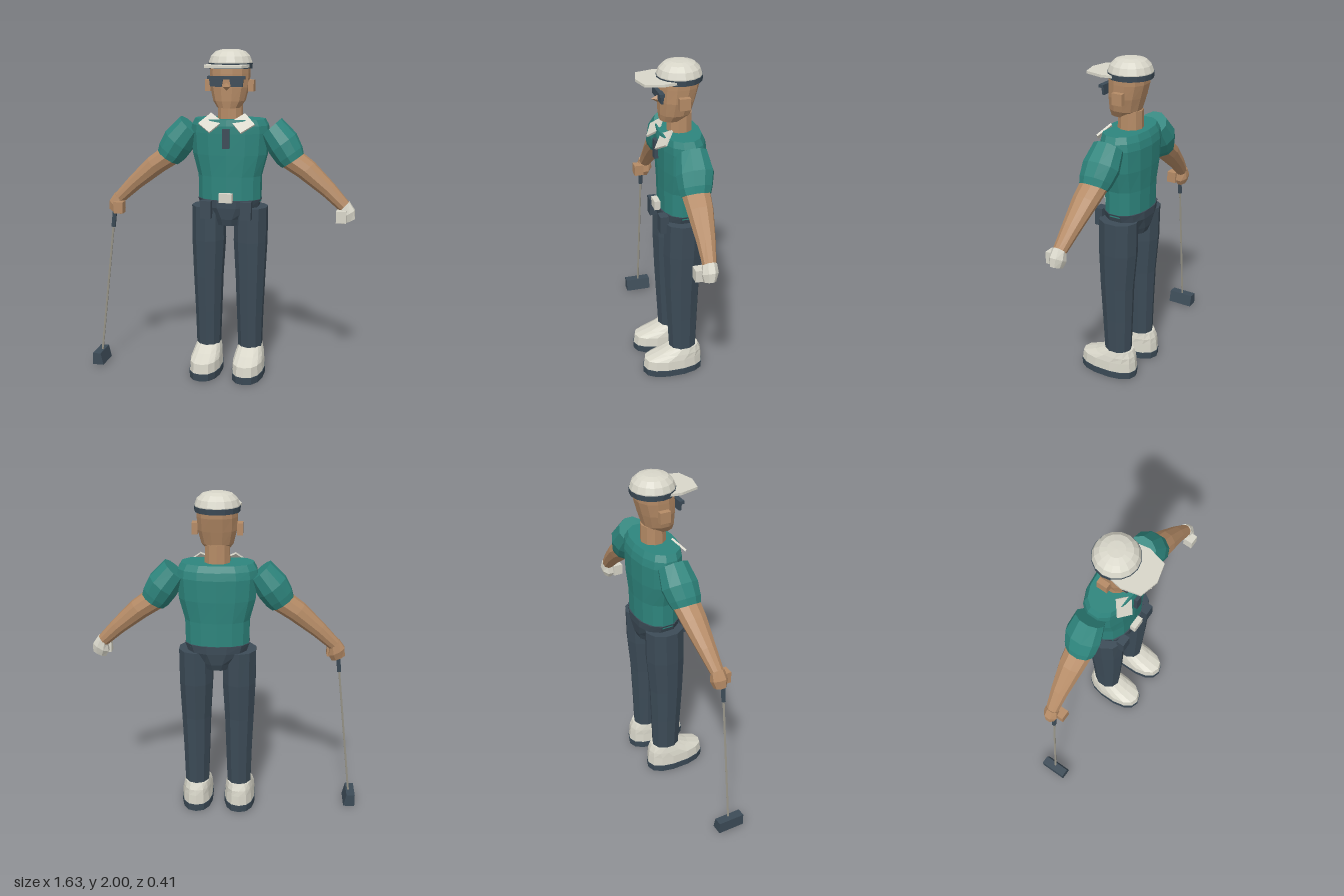
import * as THREE from 'three';

const mat = (name, color) => {
  const m = new THREE.MeshStandardMaterial({ color, flatShading: true });
  m.name = name;
  return m;
};

// Loft through upward rings: [x, y, z, rx, rz, tilt]; s mirrors across x; pow < 1 makes rings boxier
function loft(rings, sides = 10, s = 1, pow = 1) {
  const pos = [], idx = [];
  const sp = v => Math.sign(v) * Math.abs(v) ** pow;
  rings.forEach(([x, y, z, rx, rz, tilt = 0]) => {
    for (let j = 0; j < sides; j++) {
      const t = (j + 0.5) / sides * Math.PI * 2, u = sp(Math.cos(t)) * rx;
      pos.push(s * x + u * Math.cos(tilt), y + s * u * Math.sin(tilt), z + sp(Math.sin(t)) * rz);
    }
  });
  const n = rings.length;
  for (let i = 0; i < n - 1; i++) for (let j = 0; j < sides; j++) {
    const a = i * sides + j, b = i * sides + (j + 1) % sides;
    idx.push(a, a + sides, b, b, a + sides, b + sides);
  }
  // end caps
  for (let j = 1; j < sides - 1; j++) {
    const e = (n - 1) * sides;
    idx.push(0, j, j + 1, e, e + j + 1, e + j);
  }
  const g = new THREE.BufferGeometry();
  g.setAttribute('position', new THREE.Float32BufferAttribute(pos, 3));
  g.setIndex(idx);
  const flat = g.toNonIndexed();
  flat.computeVertexNormals();
  return flat;
}

export function createModel() {
  const model = new THREE.Group();
  model.name = 'golfer';
  const body = new THREE.Group();
  body.name = 'body';
  body.position.x = 0.045;
  model.add(body);

  const teal = mat('teal shirt', 0x2e857d), dark = mat('dark slate', 0x3c4b57),
    skin = mat('skin', 0xb58b66), cream = mat('cream', 0xd8d6c9), steel = mat('club steel', 0x99968a);

  const add = (name, geo, m, parent = body) => {
    const mesh = new THREE.Mesh(geo, m);
    mesh.name = name;
    parent.add(mesh);
    return mesh;
  };
  const box = (name, m, w, h, d, x, y, z) => {
    const b = add(name, new THREE.BoxGeometry(w, h, d), m);
    b.position.set(x, y, z);
    return b;
  };

  // Torso and hips
  add('shirt', loft([
    [0, 1.09, -0.065, 0.192, 0.125], [0, 1.25, -0.065, 0.195, 0.128], [0, 1.38, -0.067, 0.23, 0.135],
    [0, 1.51, -0.067, 0.24, 0.138], [0, 1.555, -0.063, 0.235, 0.133], [0, 1.592, -0.058, 0.215, 0.12],
  ], 14, 1, 0.9), teal);
  add('hips', loft([
    [0, 0.95, -0.062, 0.085, 0.105], [0, 0.99, -0.064, 0.1, 0.12],
    [0, 1.06, -0.065, 0.18, 0.13], [0, 1.108, -0.065, 0.197, 0.131],
  ], 12, 1, 0.85), dark);
  box('buckle', cream, 0.08, 0.055, 0.035, 0, 1.128, 0.078);
  box('placket', dark, 0.042, 0.115, 0.03, 0, 1.483, 0.075);

  // Head
  add('neck', loft([[0, 1.56, -0.062, 0.078, 0.075], [0, 1.7, -0.062, 0.074, 0.074]], 10), skin);
  add('head', loft([
    [0, 1.66, -0.015, 0.068, 0.07], [0, 1.7, -0.032, 0.096, 0.093], [0, 1.78, -0.043, 0.116, 0.106],
    [0, 1.86, -0.054, 0.12, 0.117], [0, 1.9, -0.056, 0.12, 0.117],
  ], 12, 1, 0.9), skin);
  const nose = add('nose', new THREE.ConeGeometry(0.033, 0.06, 4).rotateX(Math.PI / 2), skin);
  nose.position.set(0, 1.787, 0.073);

  // Sunglasses
  box('glassesBar', dark, 0.225, 0.018, 0.03, 0, 1.839, 0.066);
  for (const s of [-1, 1]) {
    const lens = new THREE.Shape([[-0.042, 0.024], [0.042, 0.024], [0.036, -0.024], [-0.032, -0.024]]
      .map(([x, y]) => new THREE.Vector2(x * s, y)));
    add('lens', new THREE.ExtrudeGeometry(lens, { depth: 0.015, bevelEnabled: false }), dark)
      .position.set(s * 0.06, 1.81, 0.055);
    box('ear', skin, 0.034, 0.068, 0.065, s * 0.13, 1.788, -0.056);
  }

  // Cap
  const dome = [[0.131, 1.9], [0.131, 1.925], [0.118, 1.96], [0.09, 1.987], [0.05, 1.998], [0, 2]];
  add('capCrown', new THREE.LatheGeometry(dome.map(p => new THREE.Vector2(...p)), 16), cream)
    .position.z = -0.062;
  add('capBand', new THREE.CylinderGeometry(0.134, 0.131, 0.032, 16), dark)
    .position.set(0, 1.904, -0.062);
  const brim = new THREE.Shape([[-0.12, -0.03], [-0.135, 0.055], [-0.108, 0.165], [0, 0.193],
    [0.108, 0.165], [0.135, 0.055], [0.12, -0.03]].map(p => new THREE.Vector2(...p)));
  add('capBrim', new THREE.ExtrudeGeometry(brim, { depth: 0.015, bevelEnabled: false }).rotateX(Math.PI / 2), cream)
    .position.y = 1.913;

  for (const s of [-1, 1]) {
    // Collar flap
    const flap = add('collar', new THREE.BoxGeometry(0.1, 0.105, 0.012).rotateZ(s * 0.7).rotateX(-0.75), cream);
    flap.position.set(s * 0.098, 1.573, 0.055);

    // Arm, hand and thumb; the left hand wears a glove
    const hand = s > 0 ? cream : skin;
    add('sleeve', loft([
      [0.383, 1.347, -0.052, 0.078, 0.086, 0.6], [0.362, 1.38, -0.055, 0.092, 0.098, 0.62],
      [0.32, 1.447, -0.063, 0.101, 0.11, 0.66], [0.247, 1.54, -0.066, 0.086, 0.09, 0.74],
    ], 10, s), teal);
    add('forearm', loft([
      [0.705, 1.077, -0.033, 0.038, 0.038, 0.84], [0.6, 1.18, -0.043, 0.05, 0.055, 0.84],
      [0.466, 1.295, -0.05, 0.066, 0.076, 0.78], [0.375, 1.357, -0.052, 0.075, 0.083, 0.6],
    ], 10, s), skin);
    add('hand', loft([
      [0.724, 0.997, -0.028, 0.045, 0.034, 0.4], [0.712, 1.04, -0.03, 0.057, 0.049, 0.5],
      [0.698, 1.088, -0.033, 0.041, 0.042, 0.8],
    ], 8, s), hand);
    box('thumb', hand, 0.06, 0.07, 0.06, s * 0.685, 1.033, 0.018);

    // Belt pouch
    box('pouch', dark, 0.066, 0.108, 0.05, s * 0.122, 1.053, 0.066);

    // Leg
    add('leg', loft([
      [0.132, 0.16, -0.055, 0.075, 0.086], [0.131, 0.4, -0.052, 0.083, 0.097],
      [0.132, 0.62, -0.05, 0.092, 0.107], [0.13, 0.85, -0.056, 0.104, 0.122],
      [0.132, 1.06, -0.06, 0.103, 0.122],
    ], 10, s), dark);

    // Shoe
    add('sole', loft([[0.134, 0, 0.01, 0.097, 0.19], [0.134, 0.045, 0.01, 0.099, 0.193]], 14, s, 0.85), dark);
    add('shoe', loft([
      [0.134, 0.043, 0.01, 0.096, 0.19], [0.134, 0.105, 0.008, 0.092, 0.184],
      [0.133, 0.14, -0.035, 0.085, 0.135], [0.132, 0.178, -0.063, 0.074, 0.09],
    ], 14, s, 0.85), cream);
  }

  // Golf club in the right hand
  const club = new THREE.Group();
  club.name = 'club';
  model.add(club);
  const top = new THREE.Vector3(-0.677, 1.02, -0.01), tip = new THREE.Vector3(-0.785, 0.06, 0);
  const rod = (name, m, r, a, b) => {
    const mesh = add(name, new THREE.CylinderGeometry(r, r, a.distanceTo(b), 6), m, club);
    mesh.position.copy(a).lerp(b, 0.5);
    mesh.quaternion.setFromUnitVectors(new THREE.Vector3(0, 1, 0), a.clone().sub(b).normalize());
  };
  rod('shaft', steel, 0.007, top, tip);
  rod('grip', dark, 0.014, top, top.clone().lerp(tip, 0.125));
  const headShape = new THREE.Shape([[-0.82, 0.01], [-0.75, 0.01], [-0.768, 0.085], [-0.82, 0.085]]
    .map(p => new THREE.Vector2(...p)));
  add('clubHead', new THREE.ExtrudeGeometry(headShape, { depth: 0.165, bevelEnabled: false }), dark, club)
    .position.z = -0.08;

  return model;
}
